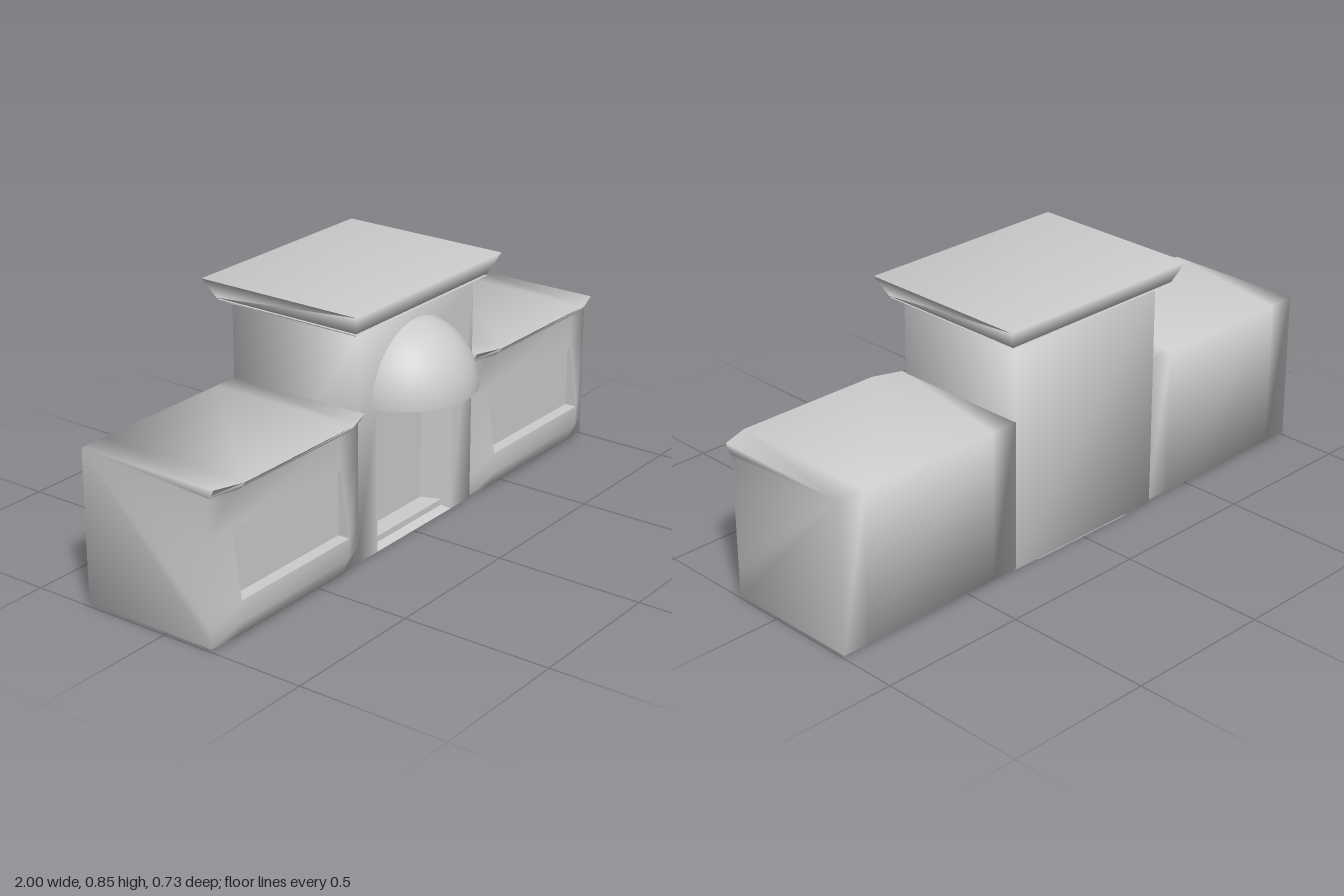
import * as THREE from 'three';
import { mergeVertices } from 'three/addons/utils/BufferGeometryUtils.js';

const grey = new THREE.MeshStandardMaterial({ color: 0xcccccc });
const greyDouble = new THREE.MeshStandardMaterial({ color: 0xcccccc, side: THREE.DoubleSide });

function addMesh(parent, name, geometry, material = grey) {
  const mesh = new THREE.Mesh(geometry, material);
  mesh.name = name;
  parent.add(mesh);
  return mesh;
}

// Geometry with shared corners, so the shading flows over the edges
function softGeometry(points, quads, triangles = []) {
  const geometry = new THREE.BufferGeometry();
  geometry.setAttribute('position', new THREE.Float32BufferAttribute(points.flat(), 3));
  const index = quads.flatMap(([a, b, c, d]) => [a, b, c, a, c, d]);
  geometry.setIndex(index.concat(triangles.flat()));
  geometry.computeVertexNormals();
  return geometry;
}

function rect(x0, x1, y0, y1, zBottom, zTop) {
  return [[x0, y0, zBottom], [x1, y0, zBottom], [x1, y1, zTop], [x0, y1, zTop]];
}

// Recess: four reveals leading from an opening back to a flat panel
function addNiche(parent, name, outer, inner) {
  const reveals = [0, 1, 2, 3].map(i => [i, (i + 1) % 4, 4 + (i + 1) % 4, 4 + i]);
  const points = [...outer, ...inner];
  const split = softGeometry(points, reveals).toNonIndexed();
  split.computeVertexNormals();
  addMesh(parent, name + 'Reveal', split, greyDouble);
  addMesh(parent, name + 'Panel', softGeometry(inner, [[0, 1, 2, 3]]), greyDouble);
}

// Four-sided slab that flares out towards its top
function flaredSlab(y0, y1, halfX0, halfX1, halfZ0, halfZ1, z) {
  const geometry = new THREE.BoxGeometry(2, 2, 2);
  const p = geometry.attributes.position;
  for (let i = 0; i < p.count; i++) {
    const top = p.getY(i) > 0;
    p.setXYZ(i, p.getX(i) * (top ? halfX1 : halfX0), top ? y1 : y0,
      z + p.getZ(i) * (top ? halfZ1 : halfZ0));
  }
  geometry.deleteAttribute('normal');
  geometry.deleteAttribute('uv');
  const merged = mergeVertices(geometry);
  merged.computeVertexNormals();
  return merged;
}

// Wing cross-section, from the front foot up over the cornice to the back:
// y, z at the two ends, z along the middle
const wingProfile = [
  [0.01, 0.175, 0.185], [0.07, 0.175, 0.213], [0.14, 0.175, 0.213],
  [0.355, 0.175, 0.181], [0.483, 0.175, 0.181], [0.485, 0.183, 0.205],
  [0.495, 0.19, 0.22], [0.515, 0.2, 0.234], [0.515, -0.301, -0.301],
  [0.01, -0.301, -0.301],
];

function createWing(side) {
  const wing = new THREE.Group();
  wing.name = side > 0 ? 'leftWing' : 'rightWing';
  const xs = [0.305, 0.4, 0.905, 1].map(x => x * side).sort((a, b) => a - b);
  const n = wingProfile.length;
  const points = [], quads = [], ends = [];
  xs.forEach((x, i) => wingProfile.forEach(([y, zEnd, zMid]) =>
    points.push([x, y, i === 0 || i === 3 ? zEnd : zMid])));
  for (let i = 0; i < 3; i++) {
    for (let j = 0; j < n; j++) {
      if (i === 1 && j === 2) continue; // window opening
      const k = (j + 1) % n;
      quads.push([i * n + j, (i + 1) * n + j, (i + 1) * n + k, i * n + k]);
    }
  }
  // End walls, fanned from the upper back corner
  const hub = 8, last = 3 * n;
  for (let j = 0; j < n; j++) {
    const k = (j + 1) % n;
    if (j === hub || k === hub) continue;
    ends.push([hub, j, k], [last + hub, last + k, last + j]);
  }
  addMesh(wing, 'wingBody', softGeometry(points, quads, ends));
  addNiche(wing, 'window',
    rect(xs[1], xs[2], 0.14, 0.355, 0.213, 0.181),
    rect(xs[1], xs[2], 0.14, 0.355, 0.172, 0.172));
  wing.position.z = -0.004 * side;
  return wing;
}

function createTower() {
  const tower = new THREE.Group();
  tower.name = 'tower';
  // Walls with a door opening in the front
  const opening = rect(-0.2, 0.2, 0.005, 0.5, 0.175, 0.175);
  const walls = [
    ...rect(-0.308, 0.308, 0.005, 0.755, 0.175, 0.175),
    ...rect(-0.308, 0.308, 0.005, 0.755, -0.302, -0.302),
    ...opening,
  ];
  addMesh(tower, 'towerWalls', softGeometry(walls, [
    [0, 8, 11, 3], [9, 1, 2, 10], [11, 10, 2, 3], // front
    [1, 5, 6, 2], [4, 0, 3, 7], [5, 4, 7, 6],     // sides and back
    [3, 2, 6, 7], [4, 5, 1, 0],                   // top and bottom
  ]));
  addNiche(tower, 'door', opening, rect(-0.163, 0.163, 0.035, 0.48, 0.08, 0.08));

  // Door step running under the tower
  const step = addMesh(tower, 'doorStep', new THREE.BoxGeometry(0.4, 0.035, 0.445));
  step.position.set(0, 0.0175, -0.0775);

  // Half-dome awning over the door
  const awning = addMesh(tower, 'domeAwning',
    new THREE.SphereGeometry(0.235, 28, 12, 0, Math.PI, 0, Math.PI / 2), greyDouble);
  awning.position.set(0, 0.495, 0.128);

  // Cornice and roof, with a narrow gap between them
  addMesh(tower, 'cornice', flaredSlab(0.755, 0.774, 0.308, 0.342, 0.2385, 0.27, -0.065));
  addMesh(tower, 'roof', flaredSlab(0.78, 0.846, 0.345, 0.379, 0.269, 0.298, -0.065));
  return tower;
}

export function createModel() {
  const model = new THREE.Group();
  model.name = 'building';
  model.add(createTower(), createWing(1), createWing(-1));
  return model;
}
